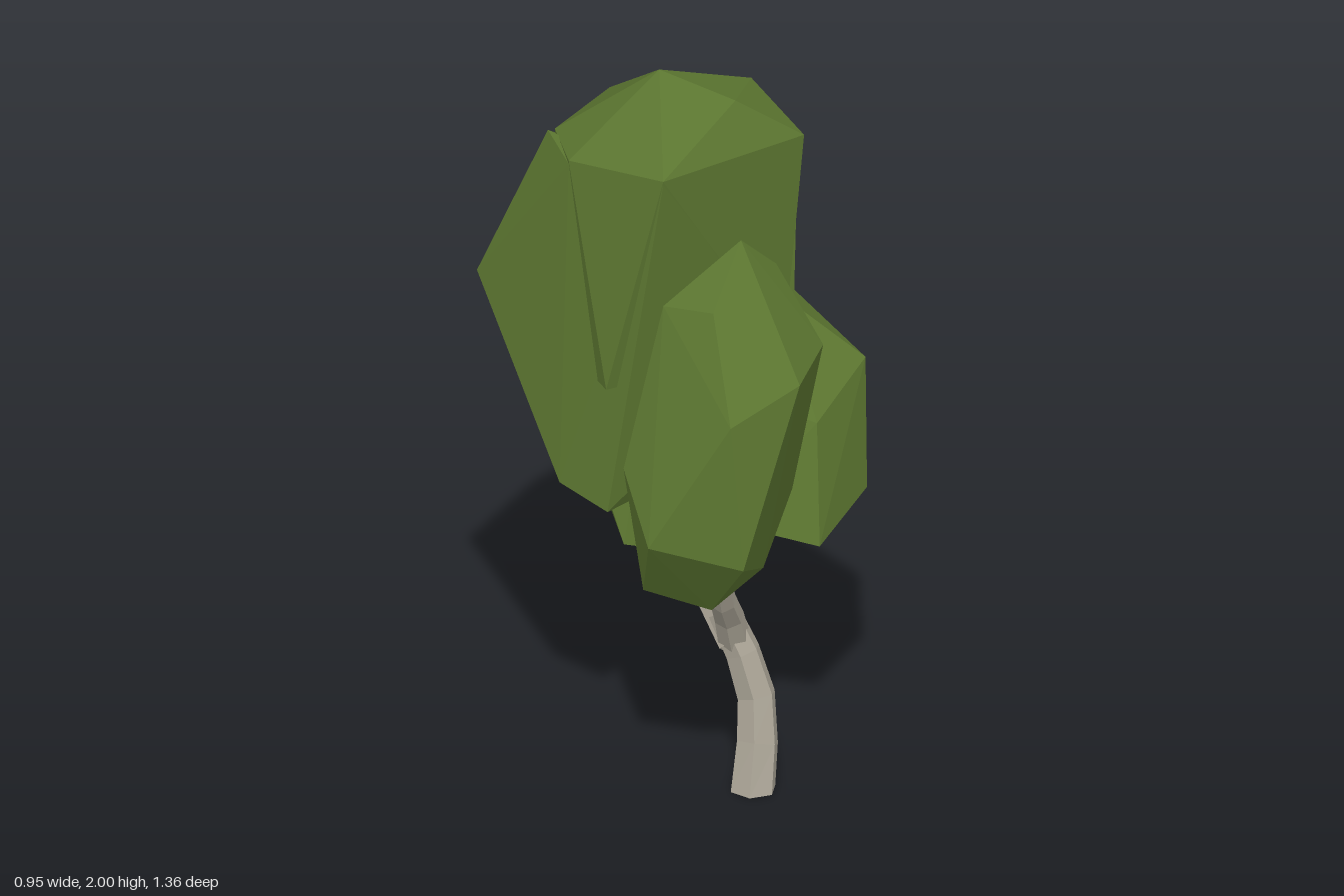
import * as THREE from 'three';
import { ConvexGeometry } from 'three/addons/geometries/ConvexGeometry.js';

const leaf = new THREE.MeshStandardMaterial({ color: 0x5b7530, flatShading: true });
leaf.name = 'leaf green';
const bark = new THREE.MeshStandardMaterial({ color: 0xa8a294, flatShading: true });
bark.name = 'grey bark';

const vec = (p) => new THREE.Vector3(...p);

// Faceted foliage clump: the hull of a few corner points
function clump(name, points) {
  const mesh = new THREE.Mesh(new ConvexGeometry(points.map(vec)), leaf);
  mesh.name = name;
  return mesh;
}

// Six-sided limb along a path, tapering from r0 to r1
function limb(name, path, r0, r1, segments, onGround = false) {
  const curve = new THREE.CatmullRomCurve3(path.map(vec));
  const geo = new THREE.TubeGeometry(curve, segments, 1, 6);
  const pos = geo.attributes.position;
  const v = new THREE.Vector3();
  for (let i = 0; i < pos.count; i++) {
    const t = Math.floor(i / 7) / segments;
    const c = curve.getPointAt(t);
    v.fromBufferAttribute(pos, i).sub(c).multiplyScalar(r0 + (r1 - r0) * t).add(c);
    if (onGround && t === 0) v.y = 0;
    pos.setXYZ(i, v.x, v.y, v.z);
  }
  const mesh = new THREE.Mesh(geo, bark);
  mesh.name = name;
  return mesh;
}

export function createModel() {
  const tree = new THREE.Group();
  tree.name = 'tree';

  // Trunk and branches
  tree.add(
    limb('trunk', [[0.07, 0, 0.39], [0.11, 0.22, 0.325], [0.065, 0.42, 0.265], [0.045, 0.47, 0.24]], 0.064, 0.044, 4, true),
    limb('frontBranch', [[0.07, 0.38, 0.265], [0.03, 0.5, 0.31], [-0.02, 0.6, 0.38], [-0.04, 0.75, 0.41]], 0.046, 0.026, 4),
    limb('backBranch', [[0.07, 0.38, 0.27], [0.04, 0.49, 0.16], [0.03, 0.57, 0.04], [0.02, 0.63, -0.12],
      [0.02, 0.77, -0.33], [0.02, 0.93, -0.51]], 0.05, 0.024, 7),
    limb('middleBranch', [[0.03, 0.55, 0.07], [0.01, 0.67, 0.04], [0, 0.9, -0.01]], 0.038, 0.028, 3),
    limb('upperBranch', [[0.02, 0.78, -0.38], [0.03, 0.87, -0.38], [0.04, 1.06, -0.33]], 0.042, 0.026, 3),
  );
  const foot = new THREE.Mesh(new THREE.CircleGeometry(0.062, 6), bark);
  foot.name = 'trunkFoot';
  foot.rotation.x = Math.PI / 2;
  foot.position.set(0.07, 0.001, 0.39);
  tree.add(foot);

  // Foliage clumps
  tree.add(
    clump('crownTop', [
      [-0.05, 2, 0.03], [0.12, 1.93, 0.15], [0.25, 1.88, -0.05], [0.31, 1.8, 0.17], [-0.16, 1.82, 0.32],
      [-0.32, 1.79, 0.05], [-0.28, 1.79, -0.14], [-0.05, 1.79, -0.31], [0.1, 1.74, -0.34],
      [0.1, 1.52, -0.28], [0.26, 1.25, 0], [0.24, 1.2, 0.2], [-0.3, 1.2, 0.26], [-0.3, 1.2, -0.1],
    ]),
    clump('crownBody', [
      [-0.3, 1.79, -0.14], [-0.32, 1.78, 0.05], [-0.16, 1.81, 0.32], [0.1, 1.52, -0.29], [0.18, 1.45, -0.2],
      [-0.48, 1.38, -0.2], [-0.08, 1.4, -0.48], [0.24, 1.22, 0.2], [0.22, 1.1, -0.2],
      [-0.38, 0.88, 0.13], [-0.3, 0.84, 0.27], [-0.27, 0.82, -0.18], [0.04, 0.92, -0.36], [0.08, 0.85, 0.1],
    ]),
    clump('crownSide', [
      [0.25, 1.85, -0.05], [0.3, 1.75, 0.15], [0.35, 1.27, -0.02], [0.31, 1.22, -0.14], [0.27, 1.22, 0.19],
      [0.15, 1.5, -0.2], [0.1, 1.1, 0], [0.28, 1.0, -0.1], [0.16, 0.9, -0.28],
    ]),
    clump('frontClump', [
      [0.09, 1.57, 0.26], [-0.07, 1.47, 0.45], [-0.16, 1.45, 0.32], [0.2, 1.47, 0.24], [0.1, 1.31, 0.64],
      [0.26, 1.3, 0.42], [0.23, 1.24, 0.21], [-0.1, 1.22, 0.64], [-0.3, 1.02, 0.38], [-0.3, 0.86, 0.55],
      [-0.08, 0.81, 0.68], [-0.26, 0.67, 0.42], [-0.1, 0.62, 0.51], [0.07, 0.69, 0.46], [0.2, 0.85, 0.35],
      [0, 0.75, 0.22],
    ]),
    clump('rightClump', [
      [0.27, 1.3, 0.09], [0.34, 1.26, -0.13], [0.475, 1.12, 0.2], [0.45, 0.77, 0.27], [0.25, 0.7, 0.42],
      [0.18, 0.645, 0.16], [0.37, 0.88, -0.13], [0.04, 0.8, -0.05], [0.05, 1.1, 0.15], [0.28, 1.02, 0.33],
      [0.02, 0.76, 0.3],
    ]),
    clump('highBackClump', [
      [0.1, 1.6, -0.42], [0.21, 1.65, -0.3], [0.31, 1.5, -0.47], [0.38, 1.5, -0.26], [0.3, 1.47, -0.14],
      [0.36, 1.23, -0.22], [0.31, 1.02, -0.18], [0.28, 0.99, -0.4], [0.12, 1.05, -0.42], [0.15, 1.02, -0.15],
      [0.09, 1.4, -0.46], [0.08, 1.45, -0.33],
    ]),
    clump('rearClump', [
      [0.08, 1.4, -0.58], [0.03, 1.25, -0.68], [0.15, 1.3, -0.57], [-0.14, 1.2, -0.52], [-0.02, 1.38, -0.47],
      [0.12, 1.37, -0.45], [0.13, 1.1, -0.41], [0.05, 1, -0.61], [0, 0.88, -0.54], [0.08, 0.93, -0.43],
      [-0.07, 0.95, -0.45], [0, 1.15, -0.38],
    ]),
    clump('lowClump', [
      [-0.11, 0.55, -0.07], [0.05, 0.515, -0.03], [0.15, 0.64, -0.12], [0.13, 0.65, -0.28], [0.05, 0.84, -0.28],
      [0, 0.71, -0.35], [-0.1, 0.65, -0.25], [-0.05, 0.82, -0.1], [0, 0.57, -0.22], [0.1, 0.8, -0.12],
      [-0.14, 0.7, -0.13],
    ]),
  );
  return tree;
}
